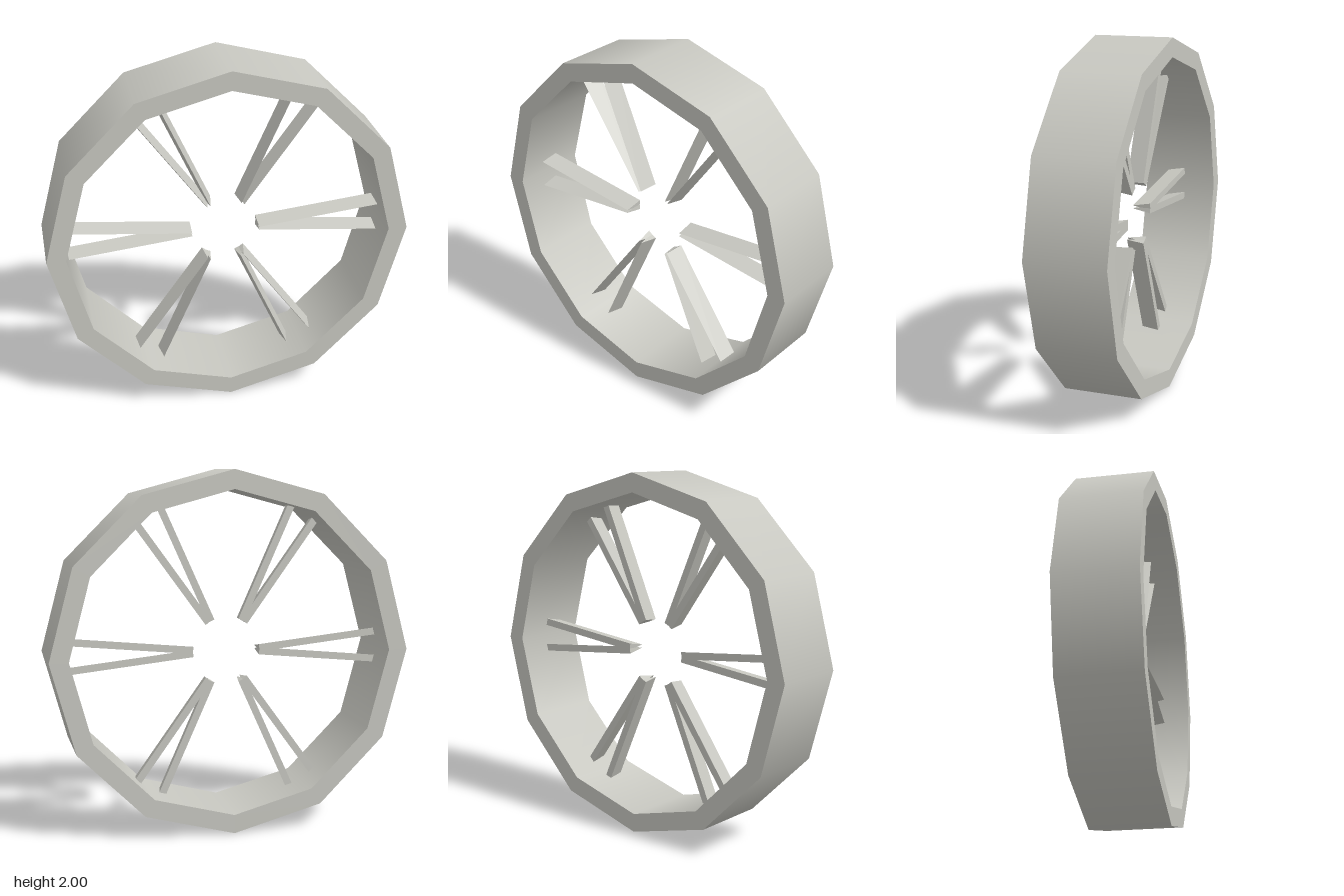
import * as THREE from 'three';
import { mergeGeometries } from 'three/addons/utils/BufferGeometryUtils.js';

const OUTER = 1, INNER = 0.895, HALF = 0.22;

// Twelve-sided rim: smooth walls, flat faces at the sides
function rimGeometry() {
  const profile = [[OUTER, -HALF], [OUTER, HALF], [INNER, HALF], [INNER, -HALF], [OUTER, -HALF]]
    .map(([r, y]) => new THREE.Vector2(r, y));
  const bands = [];
  for (let i = 0; i < 4; i++) bands.push(new THREE.LatheGeometry([profile[i], profile[i + 1]], 12));
  return mergeGeometries(bands).rotateX(Math.PI / 2);
}

// Triangular bar with its ridge to the front, running from one point to another
function barGeometry(from, to) {
  const d = to.clone().sub(from);
  let g = new THREE.CylinderGeometry(0.07, 0.07, d.length(), 3);
  g.scale(1 / 3, 1, 1);
  g = g.toNonIndexed();
  g.computeVertexNormals();
  g.rotateZ(Math.atan2(d.y, d.x) - Math.PI / 2);
  g.translate((from.x + to.x) / 2, (from.y + to.y) / 2, 0);
  return g;
}

export function createModel() {
  const model = new THREE.Group();
  model.name = 'wheelRim';
  const metal = new THREE.MeshStandardMaterial({ color: 0xc8c8c1 });
  metal.name = 'light grey metal';

  const wheel = new THREE.Group();
  wheel.name = 'wheel';
  wheel.position.y = 1;
  model.add(wheel);

  const rim = new THREE.Mesh(rimGeometry(), metal);
  rim.name = 'rim';
  wheel.add(rim);

  // Six pairs of spokes spreading towards the rim
  const bars = [1, -1].map((s) => barGeometry(
    new THREE.Vector3(0.19, 0.009 * s, 0), new THREE.Vector3(0.883, 0.08 * s, 0)));
  for (let i = 0; i < 6; i++) {
    const pair = new THREE.Group();
    pair.name = 'spokePair' + (i + 1);
    pair.rotation.z = (i * Math.PI) / 3;
    for (const g of bars) {
      const spoke = new THREE.Mesh(g, metal);
      spoke.name = 'spoke';
      pair.add(spoke);
    }
    wheel.add(pair);
  }
  return model;
}
